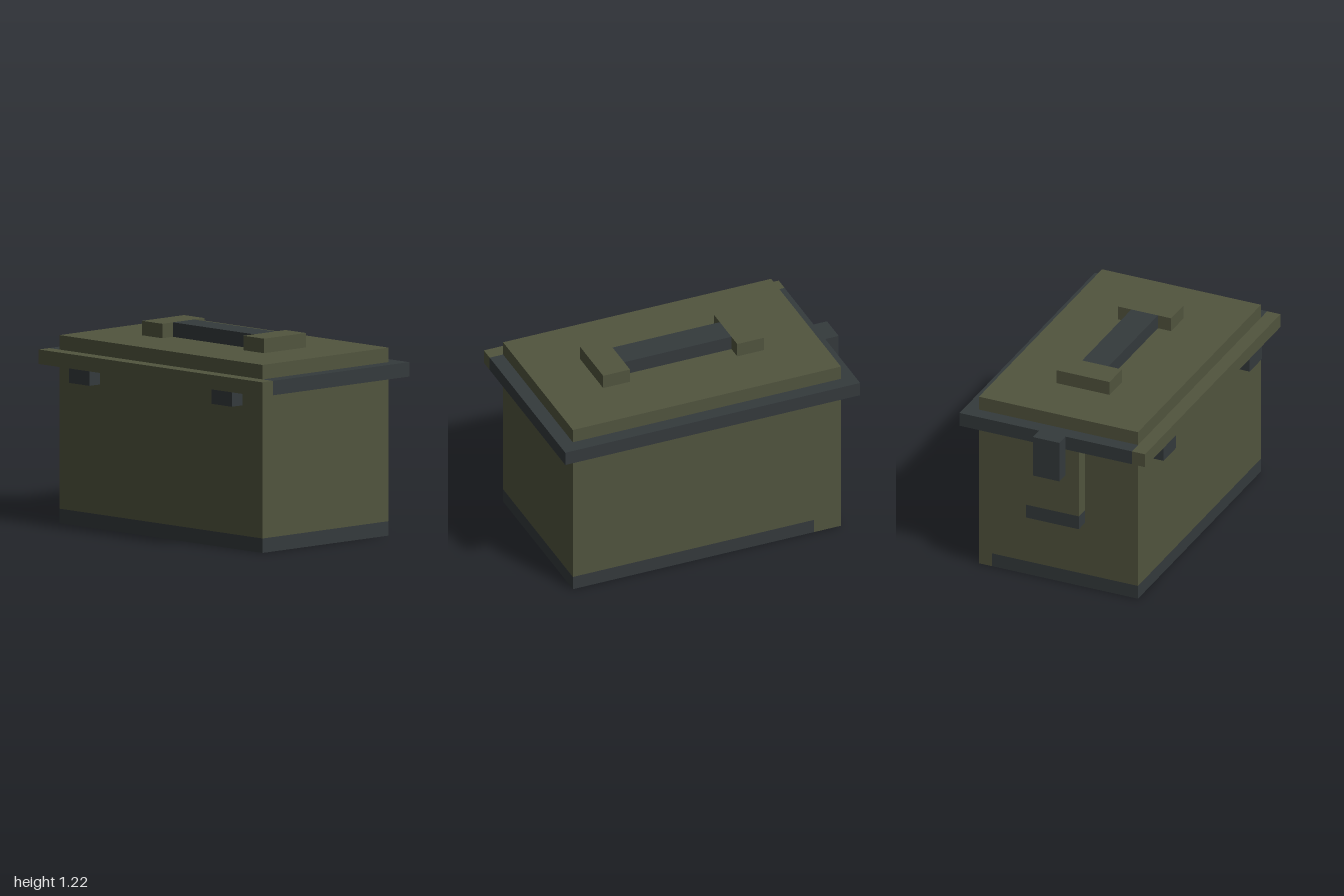
import * as THREE from 'three';

// Every part sits on a block grid, 23 blocks along the longest side.
const U = 2 / 23;

export function createModel() {
  const olive = new THREE.MeshStandardMaterial({ color: 0x51543e });
  olive.name = 'olive';
  const steel = new THREE.MeshStandardMaterial({ color: 0x343a3c });
  steel.name = 'dark steel';

  const model = new THREE.Group();
  model.name = 'toolChest';

  // Box spanning the given block ranges on each axis
  function block(name, material, [x0, x1], [y0, y1], [z0, z1], parent = model) {
    const geometry = new THREE.BoxGeometry((x1 - x0) * U, (y1 - y0) * U, (z1 - z0) * U);
    const mesh = new THREE.Mesh(geometry, material);
    mesh.name = name;
    mesh.position.set((x0 + x1) / 2 * U, (y0 + y1) / 2 * U, (z0 + z1) / 2 * U);
    parent.add(mesh);
    return mesh;
  }

  function group(name) {
    const g = new THREE.Group();
    g.name = name;
    model.add(g);
    return g;
  }

  // Dark base with one olive corner at the back
  const base = group('base');
  block('baseMain', steel, [-9.5, 10.5], [0, 1], [-5, 6], base);
  block('baseBack', steel, [-7.5, 10.5], [0, 1], [-6, -5], base);
  block('baseCorner', olive, [-9.5, -7.5], [0, 1], [-6, -5], base);

  // Chest body
  block('body', olive, [-9.5, 10.5], [1, 11], [-6, 6]);

  // Overhanging lid: dark rim, olive front lip, raised top
  const lid = group('lid');
  block('lidRim', steel, [-10.5, 11.5], [11, 12], [-7, 6], lid);
  block('lidFrontLip', olive, [-10.5, 11.5], [11, 12], [6, 7], lid);
  block('lidTop', olive, [-9.5, 10.5], [12, 13], [-6, 6], lid);

  // Carrying handle
  const handle = group('handle');
  block('handleBar', steel, [-3.5, 4.5], [13, 14], [-1, 1], handle);
  for (const x of [-5.5, 4.5]) {
    block('handleMount', olive, [x, x + 2], [13, 14], [-2, 2], handle);
  }

  // Front latches under the lip
  for (const x of [-7.5, 6.5]) {
    block('frontLatch', steel, [x, x + 2], [10, 11], [6, 7]);
  }

  // Side clasp and its backing plate
  const clasp = group('sideClasp');
  block('claspPlate', olive, [-10.5, -9.5], [6, 11], [-2, 2], clasp);
  block('claspFoot', steel, [-10.5, -9.5], [5, 6], [-2, 2], clasp);
  block('claspHook', steel, [-11.5, -10.5], [9, 12], [-1, 1], clasp);

  return model;
}
